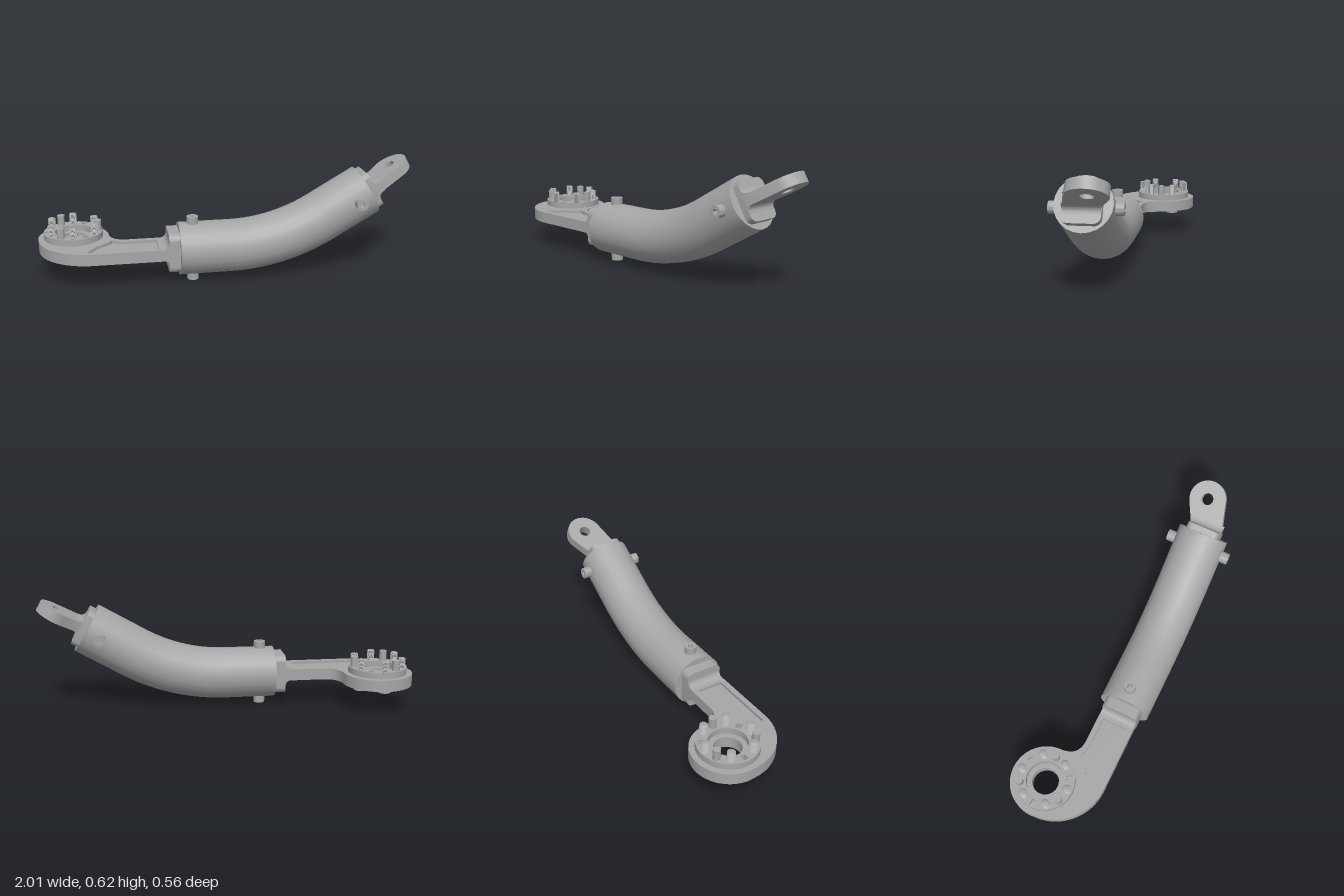
import * as THREE from 'three';
import { toCreasedNormals } from 'three/addons/utils/BufferGeometryUtils.js';

const steel = new THREE.MeshStandardMaterial({ color: 0xa6a6a6 });
steel.name = 'steel grey';

const TILT = Math.PI / 6;
const AXIS_Y = 0.175, AXIS_Z = 0.1, START_X = -0.27;
const BEND = 1, STRAIGHT_A = 0.27, STRAIGHT_B = 0.285;

// Tube centreline: straight run, 30 degree bend, straight run
class Centreline extends THREE.Curve {
  getPoint(t, target = new THREE.Vector3()) {
    const s = t * (STRAIGHT_A + BEND * TILT + STRAIGHT_B) - STRAIGHT_A;
    const a = THREE.MathUtils.clamp(s / BEND, 0, TILT);
    const rest = s < 0 ? s : Math.max(0, s - BEND * TILT);
    return target.set(
      BEND * Math.sin(a) + rest * Math.cos(a),
      AXIS_Y + BEND * (1 - Math.cos(a)) + rest * Math.sin(a),
      AXIS_Z);
  }
}

function add(parent, name, geometry, x = 0, y = 0, z = 0) {
  const mesh = new THREE.Mesh(toCreasedNormals(geometry, 0.6), steel);
  mesh.name = name;
  mesh.position.set(x, y, z);
  parent.add(mesh);
  return mesh;
}

const extrude = (shape, depth) =>
  new THREE.ExtrudeGeometry(shape, { depth, bevelEnabled: false, curveSegments: 16 });

// Horizontal slab from a shape drawn in (x, z); its top lies at y = 0
const slab = (shape, depth) => extrude(shape, depth).rotateX(Math.PI / 2);

const circle = (x, y, r) => new THREE.Path().absarc(x, y, r, 0, Math.PI * 2, false);
const disc = (r) => new THREE.Shape().absarc(0, 0, r, 0, Math.PI * 2, false);

// Screw head with a hexagonal socket, base at y = 0, pointing up
function screwHead(parent, name, r, h) {
  const group = new THREE.Group();
  group.name = name;
  const ring = disc(r);
  const hex = [];
  for (let i = 0; i < 6; i++) {
    const a = i * Math.PI / 3;
    hex.push(new THREE.Vector2(r * 0.5 * Math.cos(a), r * 0.5 * Math.sin(a)));
  }
  ring.holes.push(new THREE.Path(hex));
  add(group, 'socketRim', slab(ring, h * 0.7), 0, h, 0);
  add(group, 'screwBase', new THREE.CylinderGeometry(r, r, h * 0.3, 24), 0, h * 0.15, 0);
  parent.add(group);
  return group;
}

// Plug with rounded corners and fillets on both sides of the plate leaving it (along +x)
function endPlug(group, length, w, h, plate) {
  const r = 0.035, x = w / 2, y = h / 2;
  const s = new THREE.Shape();
  s.absarc(x - r, y - r, r, 0, Math.PI / 2, false);
  s.absarc(-x + r, y - r, r, Math.PI / 2, Math.PI, false);
  s.absarc(-x + r, -y + r, r, Math.PI, Math.PI * 1.5, false);
  s.absarc(x - r, -y + r, r, Math.PI * 1.5, Math.PI * 2, false);
  add(group, 'plug', extrude(s, length + 0.01).rotateY(Math.PI / 2), -0.01, 0, 0);
  for (const side of [1, -1]) {
    const f = new THREE.Shape();
    const y0 = side * plate / 2, y1 = side * (plate / 2 + 0.035);
    f.moveTo(length - 0.005, y0);
    f.lineTo(length + 0.04, y0);
    f.quadraticCurveTo(length, y0, length, y1);
    f.lineTo(length - 0.005, y1);
    add(group, 'fillet', extrude(f, w - 0.005), 0, 0, -(w - 0.005) / 2);
  }
}

function buildTube(model) {
  const path = new Centreline();
  add(model, 'bentTube', new THREE.TubeGeometry(path, 32, 0.14, 24, false));
  const start = path.getPoint(0), end = path.getPoint(1);
  add(model, 'tubeStartCap', new THREE.CircleGeometry(0.14, 24).rotateY(-Math.PI / 2), ...start);
  add(model, 'tubeEndCap', new THREE.CircleGeometry(0.14, 24).rotateY(Math.PI / 2), ...end).rotation.z = TILT;

  // Clamping screws: vertical pair near the start, sideways pair near the end
  for (const side of [1, -1]) {
    const v = screwHead(model, 'verticalScrew', 0.031, 0.055);
    v.position.set(-0.195, AXIS_Y + side * 0.12, AXIS_Z);
    if (side < 0) v.rotation.x = Math.PI;
    const h = screwHead(model, 'sideScrew', 0.031, 0.055);
    h.position.set(0.676, 0.417, AXIS_Z + side * 0.125);
    h.rotation.x = side * Math.PI / 2;
  }
  return end;
}

// Tongue with an offset eye at the raised end
function buildTongue(model, end) {
  const group = new THREE.Group();
  group.name = 'tongueEnd';
  group.position.copy(end);
  group.rotation.z = TILT;
  endPlug(group, 0.035, 0.185, 0.21, 0.056);
  const s = new THREE.Shape();
  s.moveTo(0.02, -0.09);
  s.lineTo(0.02, 0.092);
  s.lineTo(0.04, 0.092);
  s.absarc(0.18, -0.05, 0.1, 1.29, -2.05, true);
  s.lineTo(0.04, -0.09);
  s.holes.push(circle(0.18, -0.05, 0.032));
  add(group, 'tongue', slab(s, 0.056), 0, 0.028, 0);
  model.add(group);
}

function buildArm(model) {
  const cx = -0.815, cz = -0.095;
  const plug = new THREE.Group();
  plug.name = 'armPlug';
  plug.position.set(START_X, AXIS_Y, AXIS_Z);
  plug.rotation.y = Math.PI;
  endPlug(plug, 0.058, 0.2, 0.21, 0.06);
  model.add(plug);

  const outline = () => {
    const s = new THREE.Shape();
    s.moveTo(-0.32, 0);
    s.lineTo(-0.32, 0.2);
    s.lineTo(-0.72, 0.2);
    s.absarc(-0.72, -0.08, 0.28, Math.PI / 2, Math.PI, false);
    s.absarc(cx, cz, 0.187, Math.PI, Math.PI * 2, false);
    s.quadraticCurveTo(-0.62, 0, -0.53, 0);
    s.holes.push(circle(cx, cz, 0.07));
    return s;
  };
  const pocket = new THREE.Path();
  pocket.moveTo(-0.38, 0.17);
  pocket.lineTo(-0.75, 0.17);
  pocket.lineTo(-0.69, 0.075);
  pocket.quadraticCurveTo(-0.64, 0.05, -0.615, 0.005);
  pocket.quadraticCurveTo(-0.58, 0.03, -0.53, 0.03);
  pocket.lineTo(-0.38, 0.03);
  pocket.closePath();
  const pocketed = outline();
  pocketed.holes.push(pocket);

  // Web between two pocketed faces
  add(model, 'armTop', slab(pocketed, 0.015), 0, 0.205, 0);
  add(model, 'armWeb', slab(outline(), 0.03), 0, 0.19, 0);
  add(model, 'armBottom', slab(pocketed, 0.017), 0, 0.16, 0);

  // Raised ring with three curved slots
  const ringGroup = new THREE.Group();
  ringGroup.name = 'boltRing';
  ringGroup.position.set(cx, 0, cz);
  const ring = disc(0.157);
  ring.holes.push(circle(0, 0, 0.098));
  for (let i = 0; i < 3; i++) {
    const a = Math.PI / 3 + i * Math.PI * 2 / 3, d = 0.11;
    const slot = new THREE.Path();
    slot.absarc(0, 0, 0.146, a - d, a + d, false);
    slot.absarc(0, 0, 0.112, a + d, a - d, true);
    slot.closePath();
    ring.holes.push(slot);
  }
  add(ringGroup, 'raisedRing', slab(ring, 0.035), 0, 0.239, 0);

  // Threaded bolts with heads underneath, and plain pins between them
  const thread = [new THREE.Vector2(0.016, 0)];
  for (let i = 0; i < 9; i++) {
    thread.push(new THREE.Vector2(0.016, i * 0.0063), new THREE.Vector2(0.021, i * 0.0063 + 0.0031));
  }
  thread.push(new THREE.Vector2(0.016, 0.0575), new THREE.Vector2(0, 0.0575));
  for (let i = 0; i < 6; i++) {
    const a = Math.PI / 6 + i * Math.PI / 3;
    const x = 0.13 * Math.cos(a), z = 0.13 * Math.sin(a);
    add(ringGroup, 'threadedBolt', new THREE.LatheGeometry(thread, 12), x, 0.238, z);
    const head = screwHead(ringGroup, 'boltHead', 0.035, 0.018);
    head.position.set(x, 0.145, z);
    head.rotation.x = Math.PI;
  }
  for (let i = 0; i < 3; i++) {
    const a = i * Math.PI * 2 / 3;
    add(ringGroup, 'pin', new THREE.CylinderGeometry(0.02, 0.02, 0.06, 14),
      0.13 * Math.cos(a), 0.263, 0.13 * Math.sin(a));
  }
  model.add(ringGroup);
}

export function createModel() {
  const model = new THREE.Group();
  model.name = 'bentTubeLinkArm';
  const end = buildTube(model);
  buildTongue(model, end);
  buildArm(model);
  return model;
}
